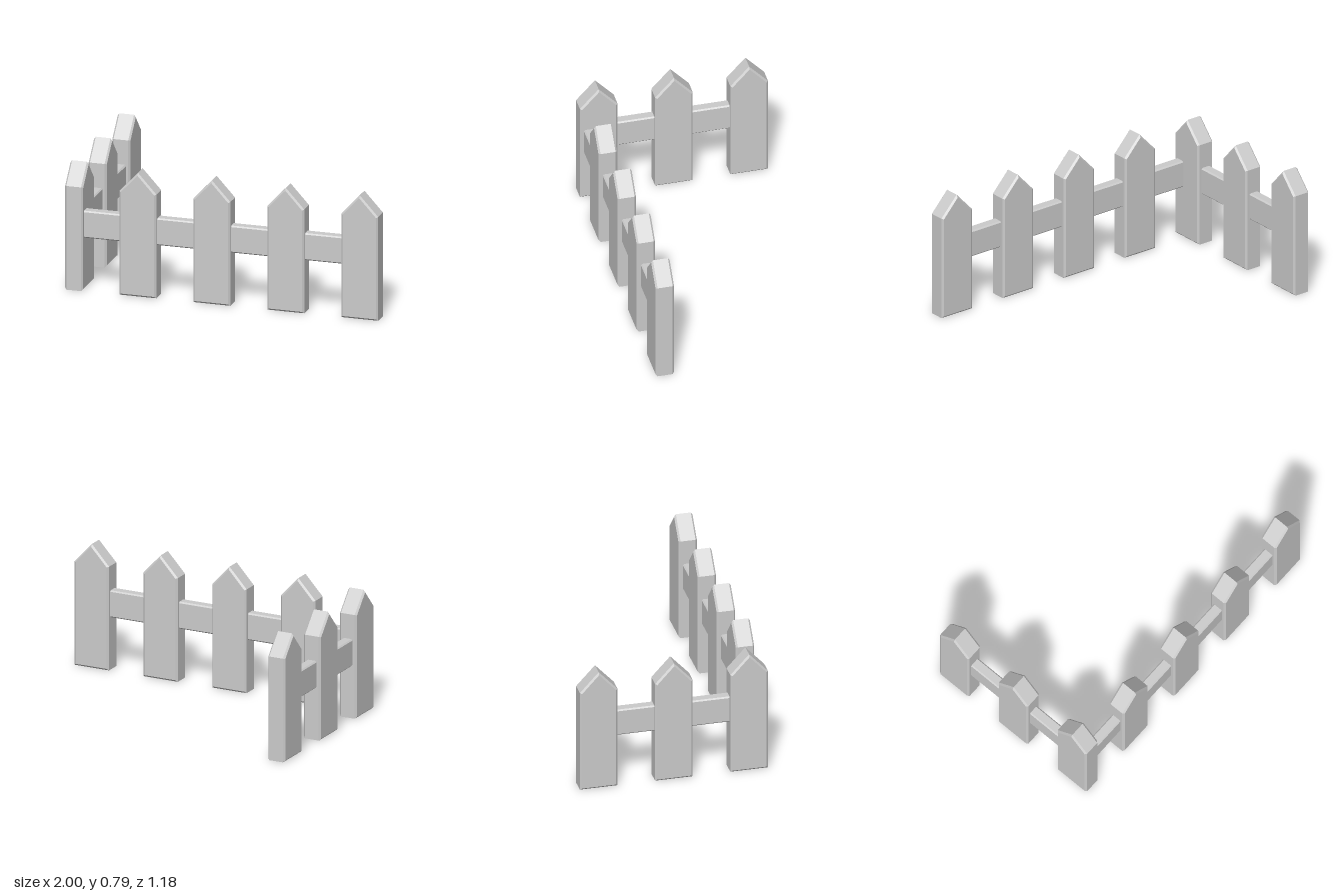
import * as THREE from 'three';

const PICKET = { width: 0.236, height: 0.793, shoulder: 0.665, depth: 0.116 };
const SPACING = 0.472;
const SIDE_X = -0.942; // centre line of the side run
const FRONT_Z = 0.534; // centre line of the front run

// Extrudes an outline along z, centred, with a chamfer that stays inside the outline
function chamferedPlate(points, depth, bevel) {
  const shape = new THREE.Shape(points.map(([x, y]) => new THREE.Vector2(x, y)));
  const geometry = new THREE.ExtrudeGeometry(shape, {
    depth: depth - 2 * bevel,
    bevelEnabled: true,
    bevelThickness: bevel,
    bevelSize: bevel,
    bevelOffset: -bevel,
    bevelSegments: 1,
  });
  return geometry.translate(0, 0, bevel - depth / 2);
}

function railGeometry(length) {
  const h = length / 2;
  return chamferedPlate([[-h, 0.335], [h, 0.335], [h, 0.508], [-h, 0.508]], 0.066, 0.008);
}

export function createModel() {
  const model = new THREE.Group();
  model.name = 'cornerFence';
  const paint = new THREE.MeshStandardMaterial({ color: 0xcccccc, flatShading: true });
  paint.name = 'greyPaint';

  const add = (name, geometry, x, z, turned) => {
    const mesh = new THREE.Mesh(geometry, paint);
    mesh.name = name;
    mesh.position.set(x, 0, z);
    if (turned) mesh.rotation.y = Math.PI / 2;
    model.add(mesh);
  };

  // Pointed pickets
  const w = PICKET.width / 2;
  const picket = chamferedPlate(
    [[-w, 0], [w, 0], [w, PICKET.shoulder], [0, PICKET.height], [-w, PICKET.shoulder]],
    PICKET.depth, 0.011);
  for (let i = 0; i < 4; i++) add(`frontPicket${i + 1}`, picket, 0.882 - i * SPACING, FRONT_Z, false);
  for (let i = -1; i <= 1; i++) add(`sidePicket${i + 2}`, picket, SIDE_X, i * SPACING, true);

  // Rails run through the pickets and end inside the outer ones
  add('frontRail', railGeometry(0.882 - SIDE_X), (0.882 + SIDE_X) / 2, FRONT_Z, false);
  add('sideRail', railGeometry(2 * SPACING), SIDE_X, 0, true);

  return model;
}
